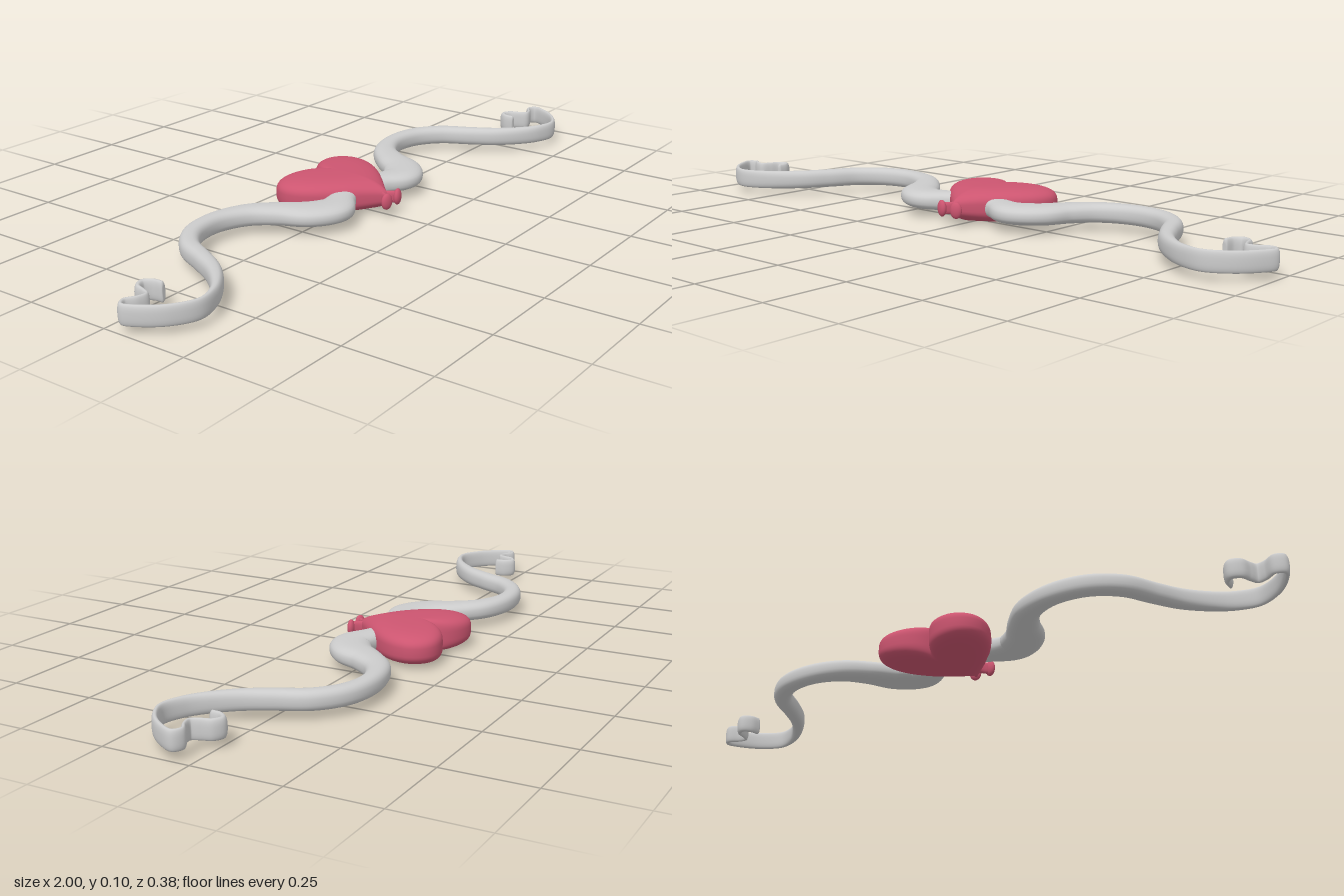
import * as THREE from 'three';

const grey = new THREE.MeshStandardMaterial({ color: 0xcccccc, side: THREE.DoubleSide });
const red = new THREE.MeshStandardMaterial({ color: 0xcc5570, side: THREE.DoubleSide });

// Smooth closed skin: rows of rings, each ring wrapping round on itself
function skin(rows, cols, point) {
  const pos = [], idx = [];
  for (let i = 0; i <= rows; i++) {
    for (let j = 0; j < cols; j++) {
      pos.push(...point(i, j));
      if (i === rows) continue;
      const k = (j + 1) % cols;
      const a = i * cols + j, b = a + cols, c = i * cols + k, d = c + cols;
      idx.push(a, b, c, b, d, c);
    }
  }
  const g = new THREE.BufferGeometry();
  g.setAttribute('position', new THREE.Float32BufferAttribute(pos, 3));
  g.setIndex(idx);
  g.computeVertexNormals();
  return g;
}

const power = (v, n) => Math.sign(v) * Math.abs(v) ** (2 / n);

// Rounded band lying in the ground plane; path entries are [x, z, width]
function band(path, height, y, side, rows) {
  const curve = new THREE.CatmullRomCurve3(path.map(([x, z, w]) => new THREE.Vector3(x * side, w, z)));
  const cols = 28, rings = [];
  for (let i = 0; i <= rows; i++) {
    const p = curve.getPoint(i / rows), t = curve.getTangent(i / rows);
    const len = Math.hypot(t.x, t.z) || 1;
    rings.push({ p, nx: -t.z / len, nz: t.x / len, s: 1 });
  }
  // rounded ends
  const close = (r, s) => ({ ...r, s });
  const first = rings[0], last = rings[rows];
  rings[0] = close(first, 0.85);
  rings[rows] = close(last, 0.85);
  rings.unshift(close(first, 0), close(first, 0.55));
  rings.push(close(last, 0.55), close(last, 0));
  return skin(rings.length - 1, cols, (i, j) => {
    const { p, nx, nz, s } = rings[i], a = (j / cols) * Math.PI * 2;
    const u = power(Math.cos(a), 2.5) * p.y / 2 * s;
    const v = power(Math.sin(a), 2.5) * height / 2 * s;
    return [p.x + nx * u, y + v, p.z + nz * u];
  });
}

// Pillow-shaped heart, thinning towards its point
function heart() {
  const s = new THREE.Shape();
  s.moveTo(0, -0.125);
  s.bezierCurveTo(0.015, -0.165, 0.055, -0.19, 0.1, -0.19);
  s.bezierCurveTo(0.145, -0.19, 0.175, -0.155, 0.175, -0.115);
  s.bezierCurveTo(0.175, -0.02, 0.05, 0.06, 0, 0.115);
  s.bezierCurveTo(-0.05, 0.06, -0.175, -0.02, -0.175, -0.115);
  s.bezierCurveTo(-0.175, -0.155, -0.145, -0.19, -0.1, -0.19);
  s.bezierCurveTo(-0.055, -0.19, -0.015, -0.165, 0, -0.125);
  const outline = s.getPoints(20);
  outline.pop();
  const rows = 36, cz = -0.06;
  return skin(rows, outline.length, (i, j) => {
    const a = (i / rows - 0.5) * Math.PI;
    const r = power(Math.max(Math.cos(a), 0), 3.4), h = power(Math.sin(a), 3.4) * 0.05;
    const z = cz + (outline[j].y - cz) * r;
    const thin = 1 - 0.35 * (Math.max(z, 0) / 0.115) ** 2;
    return [outline[j].x * r, 0.05 + h * thin, z];
  });
}

export function createModel() {
  const model = new THREE.Group();
  model.name = 'heartWithRibbons';
  const add = (name, geometry, material) => {
    const mesh = new THREE.Mesh(geometry, material);
    mesh.name = name;
    model.add(mesh);
    return mesh;
  };

  add('heart', heart(), red);

  // Waving ribbon, wide at the heart and thin at the curled tip
  const ribbon = [
    [0.04, 0.0, 0.06], [0.1, 0.025, 0.08], [0.17, 0.045, 0.115], [0.23, 0.01, 0.115],
    [0.275, -0.06, 0.09], [0.335, -0.125, 0.072], [0.43, -0.159, 0.056], [0.53, -0.146, 0.055],
    [0.605, -0.09, 0.055], [0.65, -0.005, 0.05], [0.69, 0.065, 0.044], [0.745, 0.125, 0.034],
    [0.8, 0.163, 0.024], [0.865, 0.179, 0.017], [0.93, 0.146, 0.017], [0.975, 0.092, 0.017],
    [0.991, 0.052, 0.016], [0.97, 0.038, 0.015], [0.94, 0.054, 0.014], [0.914, 0.058, 0.014],
    [0.902, 0.035, 0.015], [0.892, 0.008, 0.018], [0.868, -0.003, 0.02], [0.849, 0.015, 0.017],
    [0.845, 0.046, 0.015],
  ];
  // Short stem under each knob at the heart's point
  const stem = [[0, 0.085, 0.02], [0.008, 0.105, 0.015], [0.024, 0.128, 0.014]];

  for (const [side, label] of [[1, 'left'], [-1, 'right']]) {
    add(label + 'Ribbon', band(ribbon, 0.056, 0.0485, side, 220), grey);
    add(label + 'Stem', band(stem, 0.035, 0.05, side, 12), red);
    const knob = add(label + 'Knob', new THREE.SphereGeometry(1, 24, 16), red);
    knob.scale.set(0.018, 0.024, 0.011);
    knob.position.set(0.027 * side, 0.05, 0.129);
    knob.rotation.y = 0.3 * side;
  }
  return model;
}
